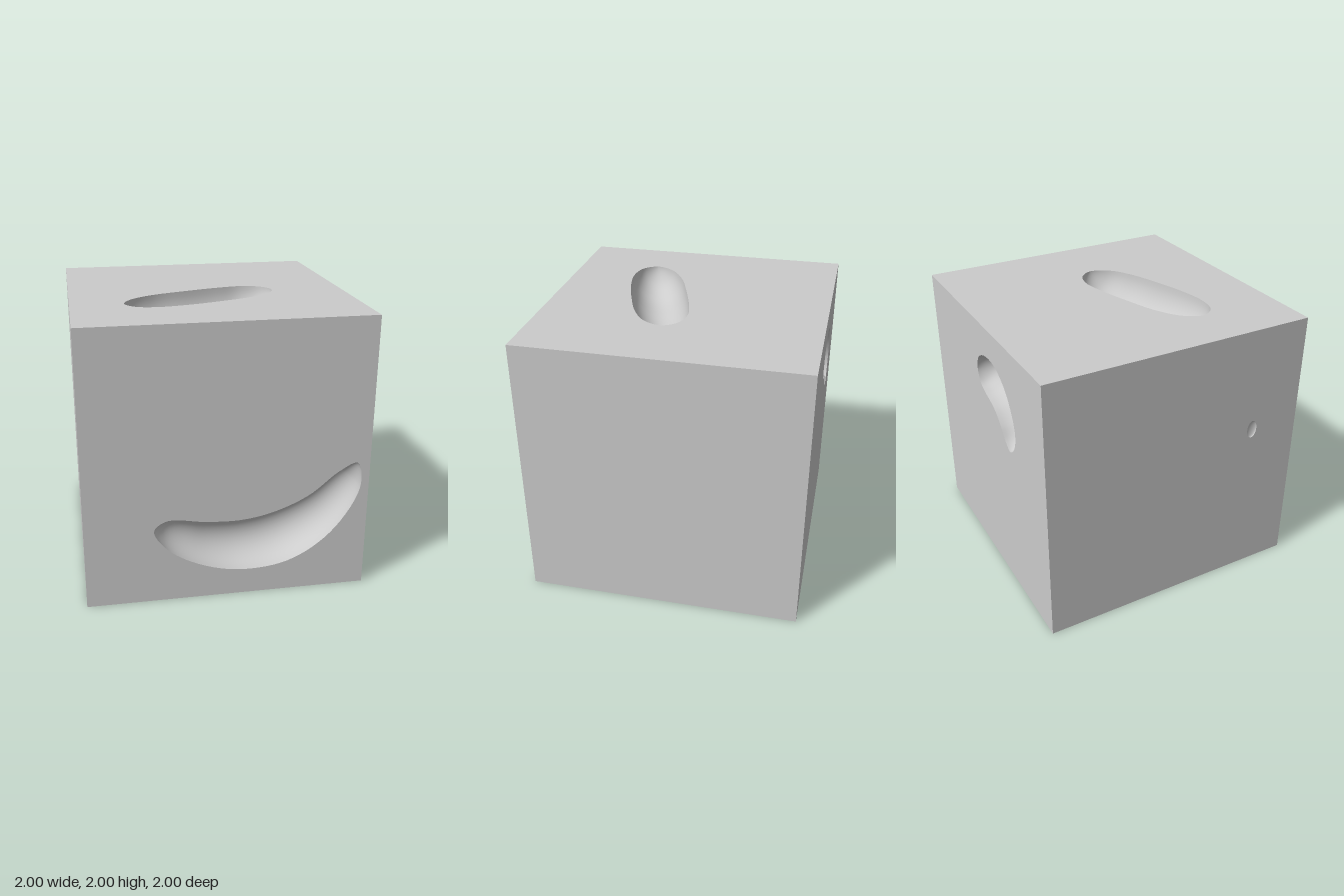
import * as THREE from 'three';

const HALF = 1;          // half the cube's side
const STEPS = 48;        // samples along each rim rail
const ARC = 20;          // samples across each hollow

const material = new THREE.MeshStandardMaterial({ color: 0xcccccc });
const hollowMaterial = new THREE.MeshStandardMaterial({ color: 0xcccccc, side: THREE.DoubleSide });

// Smooth closed rim; the first point and the middle point are the two tips
function rimPoints(controls) {
  const curve = new THREE.CatmullRomCurve3(
    controls.map(([x, y]) => new THREE.Vector3(x, y, 0)), true, 'centripetal');
  return Array.from({ length: STEPS * 2 }, (_, i) => curve.getPoint(i / (STEPS * 2)));
}

// Round-bottomed hollow: half-ellipse sections strung between the two rails of the rim
function hollowGeometry(rim, depth) {
  const positions = [], index = [];
  for (let i = 0; i <= STEPS; i++) {
    const a = rim[i], b = rim[(STEPS * 2 - i) % (STEPS * 2)];
    const width = a.distanceTo(b);
    for (let j = 0; j <= ARC; j++) {
      const angle = Math.PI * j / ARC;
      const p = a.clone().lerp(b, (1 - Math.cos(angle)) / 2);
      positions.push(p.x, p.y, -Math.sin(angle) * width / 2 * depth);
      if (i < STEPS && j < ARC) {
        const k = i * (ARC + 1) + j, n = k + ARC + 1;
        index.push(k, n, n + 1, k, n + 1, k + 1);
      }
    }
  }
  const geometry = new THREE.BufferGeometry();
  geometry.setAttribute('position', new THREE.Float32BufferAttribute(positions, 3));
  geometry.setIndex(index);
  geometry.computeVertexNormals();
  return geometry;
}

// One cube side in its own xy plane, facing local +z, with an optional hollow
function makeSide({ name, rotation, controls, depth = 1.1 }) {
  const side = new THREE.Group();
  side.name = name;
  const square = new THREE.Shape([[-1, -1], [1, -1], [1, 1], [-1, 1]]
    .map(([x, y]) => new THREE.Vector2(x * HALF, y * HALF)));
  if (controls) {
    const rim = rimPoints(controls);
    square.holes.push(new THREE.Path(rim.map(p => new THREE.Vector2(p.x, p.y))));
    const hollow = new THREE.Mesh(hollowGeometry(rim, depth), hollowMaterial);
    hollow.name = name + 'Hollow';
    side.add(hollow);
  }
  const panel = new THREE.Mesh(new THREE.ShapeGeometry(square), material);
  panel.name = name + 'Panel';
  side.add(panel);
  side.rotation.set(...rotation);
  side.position.set(0, 0, HALF).applyEuler(side.rotation);
  side.position.y += HALF;
  return side;
}

export function createModel() {
  const model = new THREE.Group();
  model.name = 'hollowedCube';

  // Long crescent low on the front
  const frontRim = [
    [-0.52, 0.55], [-0.43, 0.40], [-0.2, 0.26], [0.1, 0.19], [0.45, 0.235], [0.75, 0.44], [0.94, 0.77],
    [0.91, 0.955], [0.78, 0.90], [0.57, 0.735], [0.33, 0.63], [0.1, 0.585], [-0.15, 0.59], [-0.43, 0.62],
  ].map(([x, y]) => [x, y - HALF]);

  // Slanting oval on the top, given as x and z
  const topRim = [
    [-0.625, 0.4], [-0.56, 0.5], [-0.42, 0.535], [-0.2, 0.505], [0.05, 0.43], [0.28, 0.34], [0.43, 0.235],
    [0.485, 0.1], [0.42, 0], [0.28, -0.04], [0.1, -0.01], [-0.17, 0.07], [-0.41, 0.16], [-0.57, 0.275],
  ].map(([x, z]) => [x, -z]);

  // Bean high on the back, x mirrored into the side's own plane
  const backRim = [
    [0.11, 1.6], [0.07, 1.51], [-0.01, 1.467], [-0.1, 1.44], [-0.18, 1.405], [-0.27, 1.33], [-0.35, 1.235],
    [-0.42, 1.2], [-0.505, 1.28], [-0.53, 1.42], [-0.42, 1.65], [-0.24, 1.77], [-0.04, 1.77], [0.08, 1.7],
  ].map(([x, y]) => [-x, y - HALF]);

  // Small slot on the right side, given as z and y
  const slotRim = Array.from({ length: 12 }, (_, i) => {
    const a = -Math.PI / 2 - i * Math.PI / 6;
    return [0.61 + 0.04 * Math.cos(a), 0.22 + 0.068 * Math.sin(a)];
  }).reverse();
  slotRim.unshift(slotRim.pop());

  const quarter = Math.PI / 2;
  const sides = [
    { name: 'front', rotation: [0, 0, 0], controls: frontRim },
    { name: 'back', rotation: [0, Math.PI, 0], controls: backRim },
    { name: 'top', rotation: [-quarter, 0, 0], controls: topRim },
    { name: 'bottom', rotation: [quarter, 0, 0] },
    { name: 'left', rotation: [0, quarter, 0] },
    { name: 'right', rotation: [0, -quarter, 0], controls: slotRim, depth: 0.4 },
  ];
  for (const side of sides) model.add(makeSide(side));
  return model;
}
